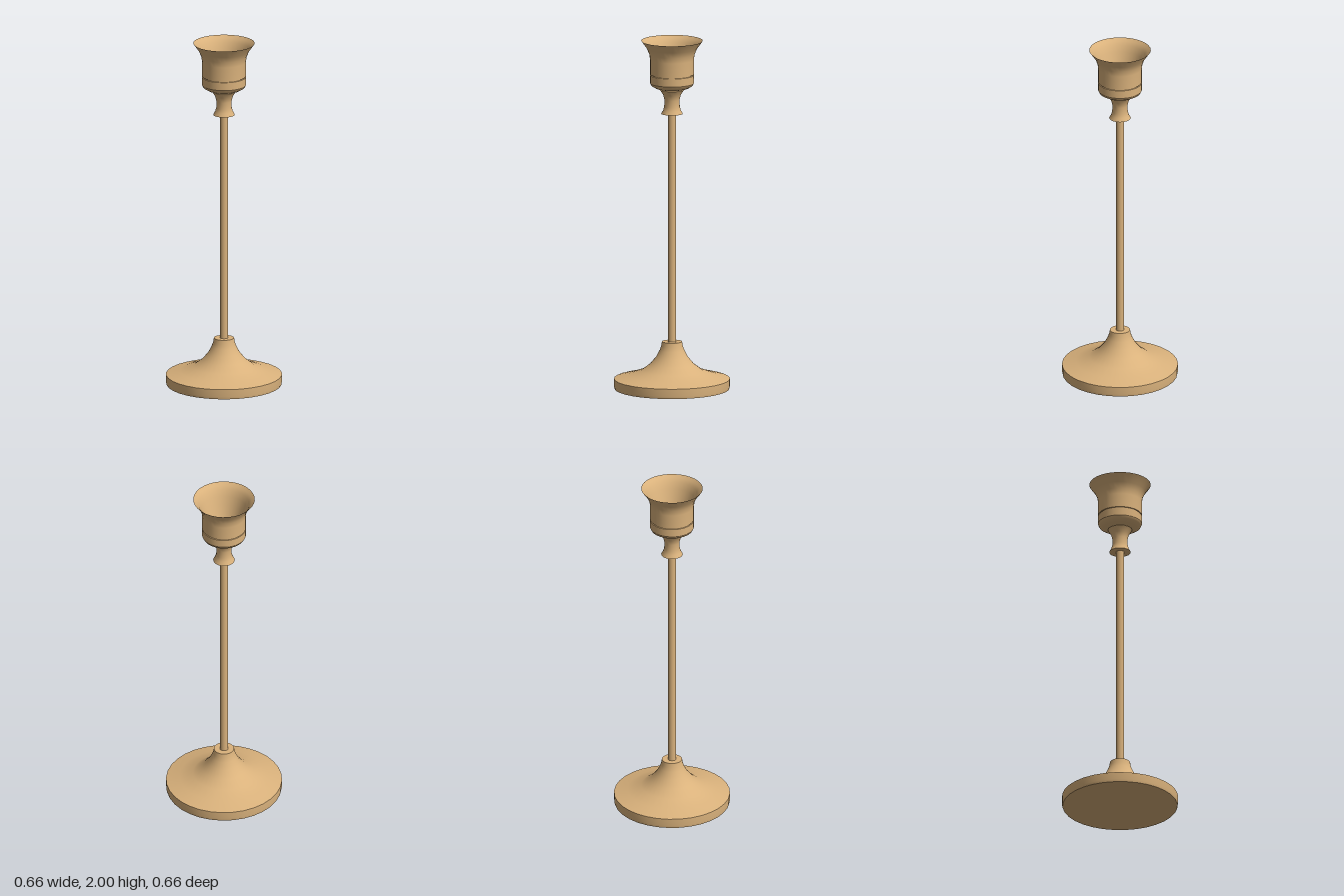
import * as THREE from 'three';

const SIDES = 32;

export function createModel() {
  const group = new THREE.Group();
  group.name = 'candlestick';
  const brass = new THREE.MeshStandardMaterial({ color: 0xdab27c });
  brass.name = 'warm brass';

  // Each part is a list of smooth profile runs [radius, height]; edges between runs stay sharp.
  function turned(name, runs) {
    const part = new THREE.Group();
    part.name = name;
    runs.forEach((run, i) => {
      const points = run.map(([r, y]) => new THREE.Vector2(r, y));
      const mesh = new THREE.Mesh(new THREE.LatheGeometry(points, SIDES), brass);
      mesh.name = `${name}Surface${i + 1}`;
      part.add(mesh);
    });
    group.add(part);
  }

  // Round foot: flat underside, upright edge, concave sweep up to a collar
  turned('base', [
    [[0, 0], [0.325, 0]],
    [[0.325, 0], [0.328, 0.015], [0.328, 0.057]],
    [[0.328, 0.057], [0.25, 0.077], [0.175, 0.103], [0.125, 0.14], [0.09, 0.182],
      [0.07, 0.22], [0.061, 0.245], [0.057, 0.27]],
    [[0.057, 0.27], [0, 0.27]],
  ]);

  // Slim rod
  turned('stem', [[[0.024, 0.26], [0.024, 1.6]]]);

  // Waisted collar under the cup
  turned('neck', [
    [[0, 1.58], [0.061, 1.58]],
    [[0.061, 1.58], [0.05, 1.6], [0.044, 1.622], [0.043, 1.66], [0.05, 1.69], [0.069, 1.718]],
    [[0.069, 1.718], [0.06, 1.724]],
  ]);

  // Cup: rounded bottom, fine groove, flared lip and funnel-shaped socket
  turned('cup', [
    [[0, 1.718], [0.06, 1.72], [0.095, 1.729], [0.117, 1.742], [0.124, 1.756]],
    [[0.124, 1.756], [0.124, 1.802]],
    [[0.124, 1.802], [0.119, 1.803]],
    [[0.119, 1.803], [0.119, 1.807]],
    [[0.119, 1.807], [0.124, 1.808]],
    [[0.124, 1.808], [0.124, 1.89], [0.128, 1.922], [0.142, 1.955], [0.174, 2]],
    [[0.174, 2], [0.158, 1.985], [0.143, 1.965], [0.128, 1.93], [0.112, 1.88], [0.09, 1.81]],
    [[0.09, 1.81], [0.083, 1.78]],
    [[0.083, 1.78], [0, 1.78]],
  ]);

  return group;
}
